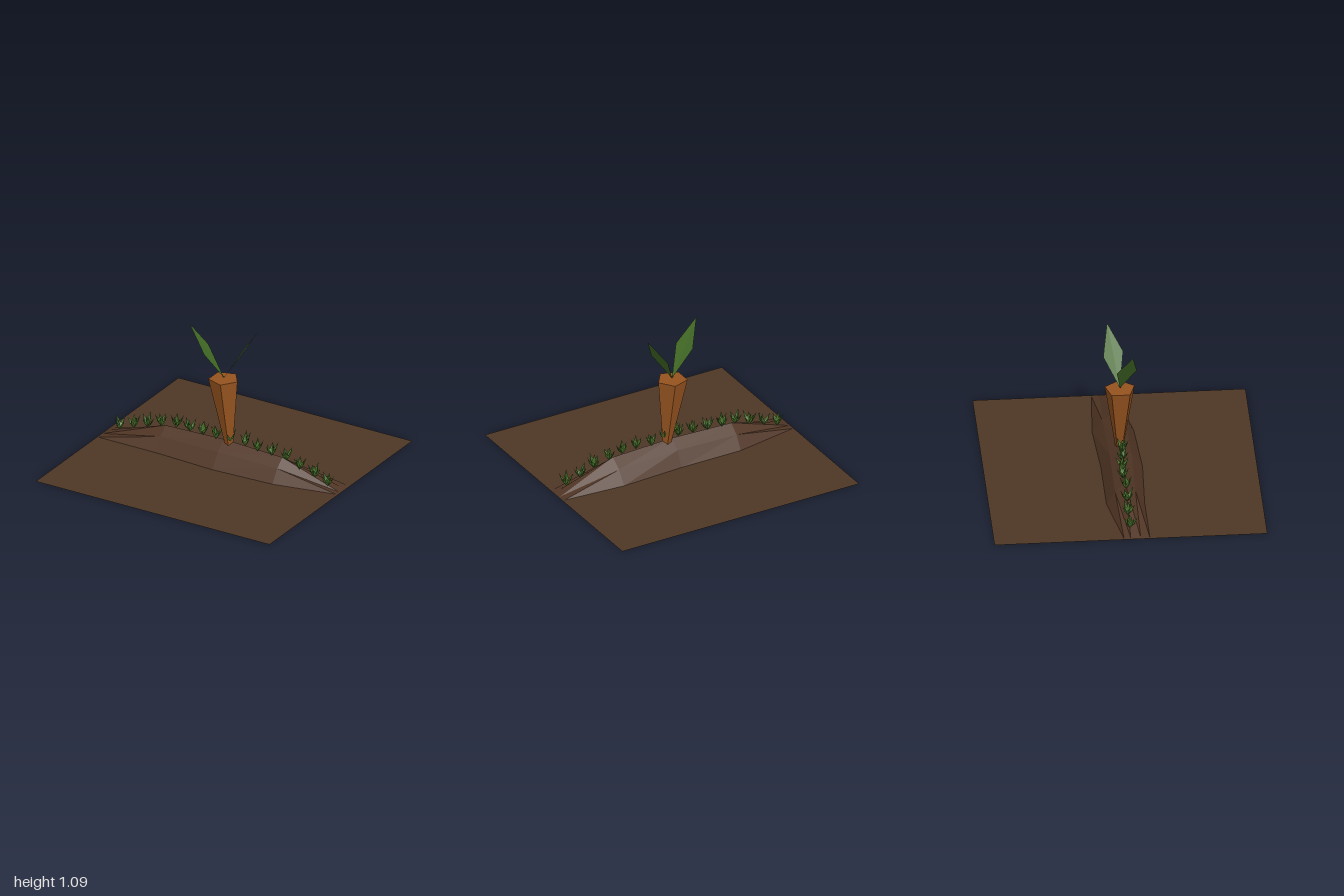
import * as THREE from 'three';

const mat = (name, color, extra = {}) => {
  const m = new THREE.MeshStandardMaterial({ color, flatShading: true, ...extra });
  m.name = name;
  return m;
};

function mesh(name, geometry, material) {
  const m = new THREE.Mesh(geometry, material);
  m.name = name;
  return m;
}

// Faceted geometry from corner points and triangle indices
function faceted(points, index) {
  const g = new THREE.BufferGeometry();
  g.setAttribute('position', new THREE.Float32BufferAttribute(points.flat(), 3));
  g.setIndex(index);
  const flat = g.toNonIndexed();
  flat.computeVertexNormals();
  return flat;
}

// Ridge of earth lofted along x: [x, height, back z, front z]
const sections = [
  [-0.99, 0.003, -0.09, 0.14],
  [-0.5, 0.165, -0.14, 0.14],
  [0, 0.18, -0.14, 0.165],
  [0.5, 0.16, -0.165, 0.14],
  [0.985, 0.003, -0.13, 0.08],
];

function moundGeometry() {
  const points = [], index = [];
  sections.forEach(([x, h, back, front], i) => {
    points.push([x, 0, back], [x, h * 0.62, back * 0.55], [x, h, 0],
      [x, h * 0.62, front * 0.52], [x, 0, front]);
    if (i === 0) return;
    for (let j = 0; j < 4; j++) {
      const a = (i - 1) * 5 + j, c = i * 5 + j;
      index.push(a, a + 1, c, a + 1, c + 1, c);
    }
  });
  return faceted(points, index);
}

function ridgeHeight(x) {
  for (let i = 1; i < sections.length; i++) {
    const [x0, h0] = sections[i - 1], [x1, h1] = sections[i];
    if (x <= x1) return h0 + (h1 - h0) * (x - x0) / (x1 - x0);
  }
  return 0;
}

// Folded pointed blade leaning outwards along +x
function bladeGeometry(lean, height, width) {
  return faceted([
    [0, 0, 0],
    [lean * 0.45, height * 0.48, width / 2],
    [lean * 0.62, height * 0.42, 0],
    [lean * 0.45, height * 0.48, -width / 2],
    [lean, height, 0],
  ], [0, 1, 2, 0, 2, 3, 2, 1, 4, 3, 2, 4]);
}

// Repeatable variation between 0 and 1
const vary = (n) => {
  const s = Math.sin(n * 12.9898) * 43758.5453;
  return s - Math.floor(s);
};

export function createModel() {
  const soil = mat('soil brown', 0x4e3725, { side: THREE.DoubleSide });
  const earth = mat('ridge brown', 0x503524, { side: THREE.DoubleSide });
  const orange = mat('carrot orange', 0x96531f);
  const leafGreen = mat('leaf green', 0x426b26, { side: THREE.DoubleSide });
  const grassGreen = mat('grass green', 0x477028, { side: THREE.DoubleSide });

  const model = new THREE.Group();
  model.name = 'carrotBed';

  // Ground sheet and raised ridge
  const ground = mesh('ground', new THREE.PlaneGeometry(2, 2), soil);
  ground.rotation.x = -Math.PI / 2;
  model.add(ground, mesh('mound', moundGeometry(), earth));

  // Five-sided carrot, its tip sheared towards +x
  const top = 0.675;
  const root = new THREE.CylinderGeometry(0.115, 0.008, top, 5);
  root.rotateY(Math.PI / 2).translate(0, top / 2, 0);
  const p = root.attributes.position;
  for (let i = 0; i < p.count; i++) p.setX(i, p.getX(i) + 0.058 * (1 - p.getY(i) / top));
  root.computeVertexNormals();
  model.add(mesh('carrot', root, orange));

  // Two diamond leaves, one a half turn from the other
  const leaf = faceted([
    [0, 0.68, 0], [0.155, 0.9, 0.035], [0.25, 1.09, -0.075], [0.1, 0.89, -0.115],
  ], [0, 2, 1, 0, 3, 2]);
  ['leftLeaf', 'rightLeaf'].forEach((name, i) => {
    const m = mesh(name, leaf, leafGreen);
    m.rotation.y = i * Math.PI;
    model.add(m);
  });

  // Row of grass tufts along the crest
  const grass = new THREE.Group();
  grass.name = 'grassRow';
  for (let i = 0; i < 16; i++) {
    const x = -0.89 + i * 0.1187;
    const tuft = new THREE.Group();
    tuft.name = 'grassTuft';
    tuft.position.set(x, ridgeHeight(x) - 0.005, (vary(i + 3) - 0.5) * 0.03);
    tuft.rotation.y = vary(i + 40) * Math.PI * 2;
    for (let k = 0; k < 6; k++) {
      const n = i * 7 + k;
      const inner = k === 5;
      const blade = mesh('blade', bladeGeometry(
        inner ? 0.012 : 0.04 + 0.018 * vary(n), 0.075 + 0.035 * vary(n + 200), 0.034), grassGreen);
      blade.rotation.y = k * Math.PI * 0.4 + (vary(n + 90) - 0.5) * 0.5;
      tuft.add(blade);
    }
    grass.add(tuft);
  }
  model.add(grass);
  return model;
}
